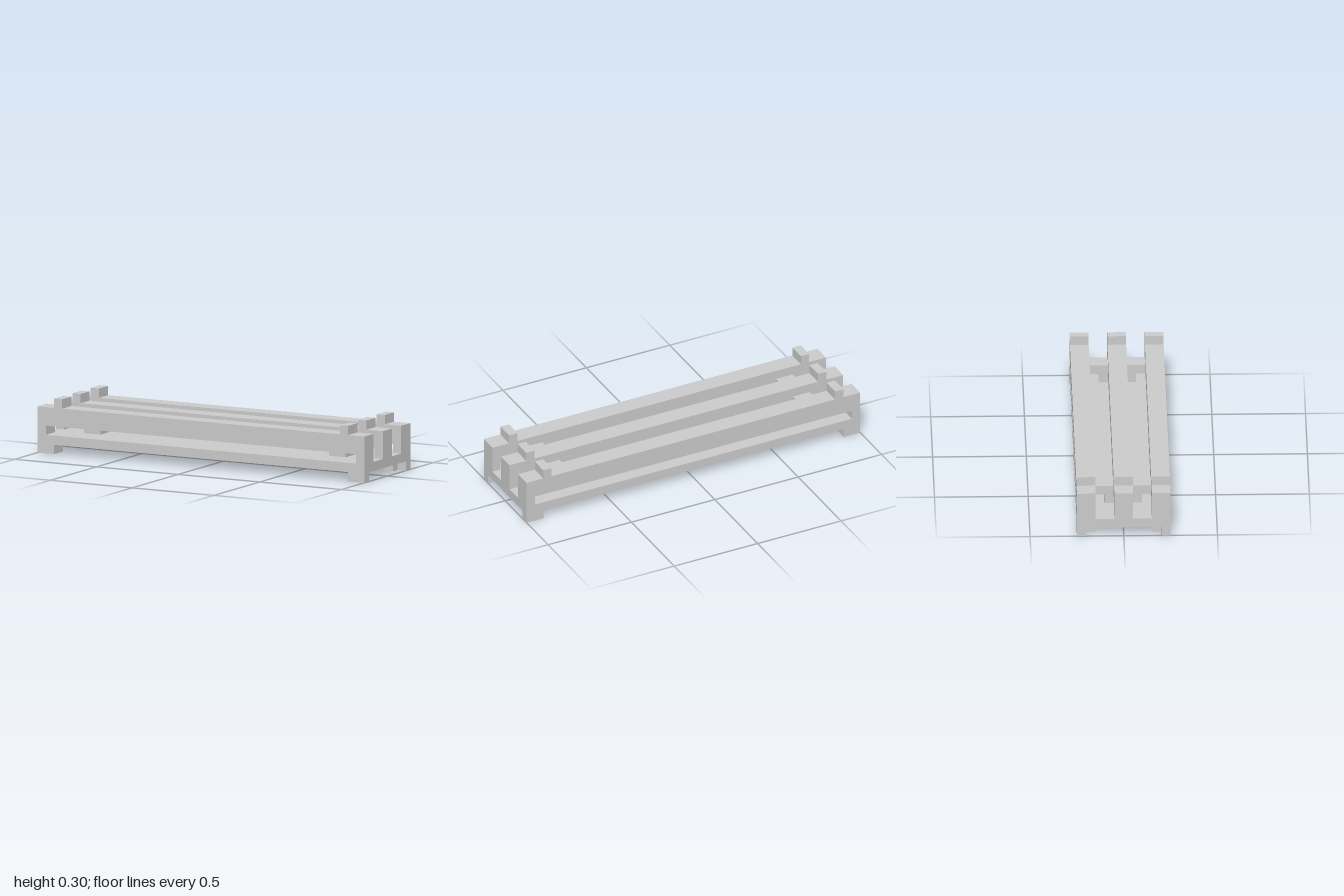
import * as THREE from 'three';

const material = new THREE.MeshStandardMaterial({ color: 0xcccccc, flatShading: true });

function add(parent, name, geometry, x = 0, y = 0, z = 0) {
  const mesh = new THREE.Mesh(geometry, material);
  mesh.name = name;
  mesh.position.set(x, y, z);
  parent.add(mesh);
  return mesh;
}

function extrude(points, depth) {
  const shape = new THREE.Shape(points.map(([x, y]) => new THREE.Vector2(x, y)));
  return new THREE.ExtrudeGeometry(shape, { depth, bevelEnabled: false });
}

export function createModel() {
  const model = new THREE.Group();
  model.name = 'railRack';

  // Base slab
  add(model, 'baseSlab', new THREE.BoxGeometry(2, 0.05, 0.5), 0, 0.075, 0);

  // Three long rails: end posts, raised beam and a stop near each end
  const half = [
    [0.95, 0.15], [0.95, 0.1], [1, 0.1], [1, 0.25],
    [0.9, 0.25], [0.9, 0.3], [0.85, 0.3], [0.85, 0.25],
  ];
  const mirrored = half.map(([x, y]) => [-x, y]).reverse();
  const railGeometry = extrude([...half, ...mirrored], 0.1);
  for (const [name, z] of [['frontRail', 0.2], ['middleRail', 0], ['backRail', -0.2]]) {
    add(model, name, railGeometry, 0, 0, z - 0.05);
  }

  // Cross supports: a block under the middle rail, and bars bridging the channels
  for (const x of [-0.75, 0.75]) {
    const support = new THREE.Group();
    support.name = 'crossSupport';
    model.add(support);
    add(support, 'supportBlock', new THREE.BoxGeometry(0.1, 0.05, 0.2), x, 0.125, 0);
    for (const z of [-0.1, 0.1]) {
      add(support, 'crossBar', new THREE.BoxGeometry(0.1, 0.05, 0.1), x, 0.175, z);
    }
  }

  // L-shaped corner feet, notched on the inner end corner
  for (const sx of [-1, 1]) {
    for (const sz of [-1, 1]) {
      const outline = [
        [0.9, 0.15], [0.95, 0.15], [0.95, 0.2], [1, 0.2], [1, 0.25], [0.9, 0.25],
      ].map(([x, z]) => [x * sx, -z * sz]);
      const foot = extrude(outline, 0.05);
      foot.rotateX(-Math.PI / 2);
      add(model, 'foot', foot);
    }
  }

  return model;
}
